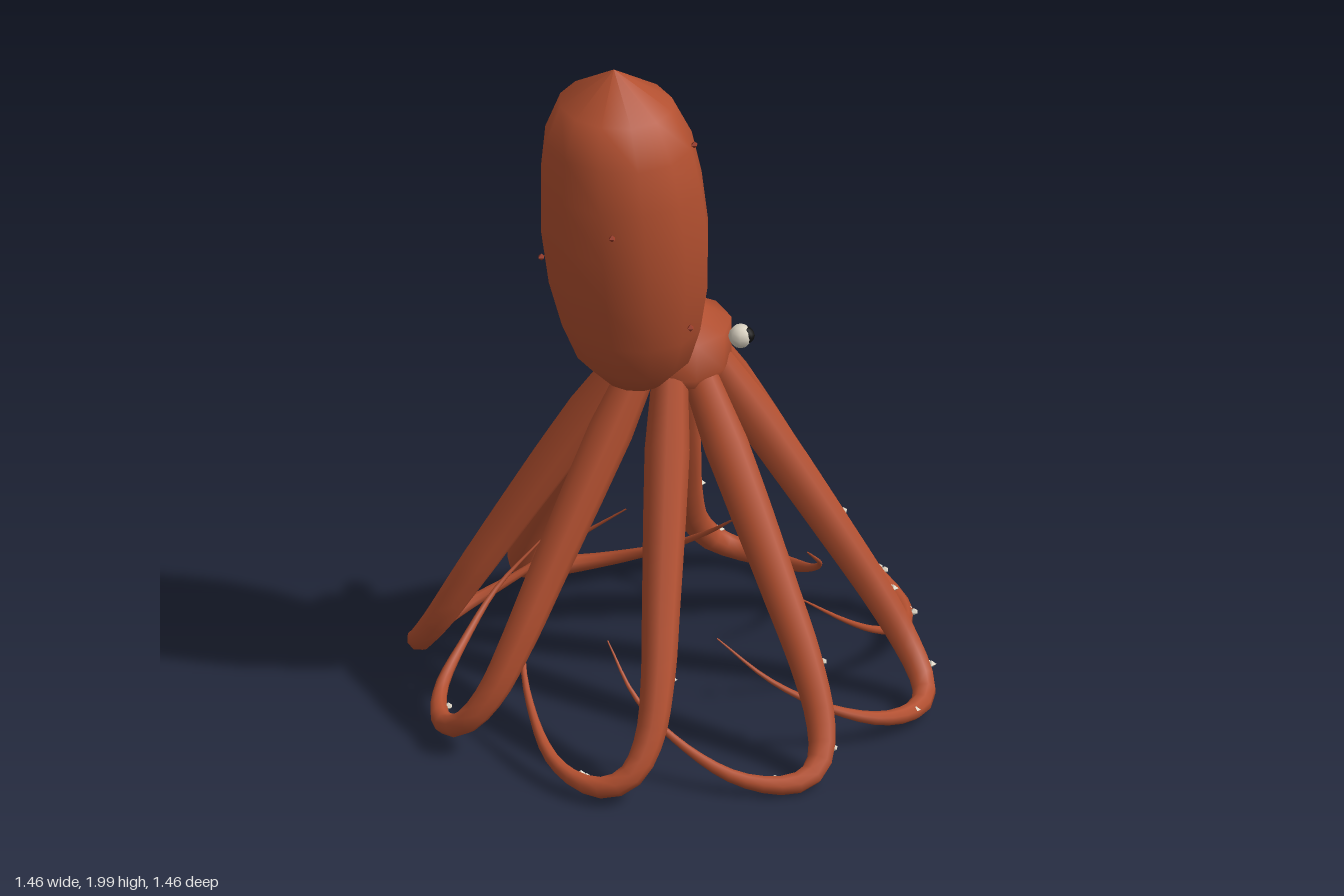
import * as THREE from 'three';

export function createModel() {
  const mat = (name, color, side = THREE.FrontSide) => {
    const m = new THREE.MeshStandardMaterial({ color, side });
    m.name = name;
    return m;
  };
  const skin = mat('rust skin', 0xb24f2f, THREE.DoubleSide);
  const wartSkin = mat('dark red wart', 0x9c3a26);
  const cream = mat('cream', 0xd8d0c0);
  const black = mat('black', 0x101010);

  const model = new THREE.Group();
  const add = (parent, name, geometry, material, x = 0, y = 0, z = 0) => {
    const mesh = new THREE.Mesh(geometry, material);
    mesh.name = name;
    mesh.position.set(x, y, z);
    parent.add(mesh);
    return mesh;
  };
  const lathe = (profile, sides) =>
    new THREE.LatheGeometry(profile.map(([r, y]) => new THREE.Vector2(r, y)), sides);

  // Mantle: a tall pointed bag, slightly narrower in z and leaning forward
  const mantle = lathe([
    [0, 1.0], [0.09, 1.015], [0.165, 1.09], [0.205, 1.2], [0.235, 1.34],
    [0.247, 1.5], [0.238, 1.65], [0.217, 1.78], [0.165, 1.895], [0, 2.0],
  ], 12);
  const mp = mantle.attributes.position;
  for (let i = 0; i < mp.count; i++) {
    mp.setZ(i, mp.getZ(i) * 0.92 + 0.175 + (mp.getY(i) - 1.5) * 0.08);
  }
  add(model, 'mantle', mantle, skin);

  // Head: open-bottomed dome behind the mantle
  add(model, 'head', lathe([[0.15, 1.0], [0.166, 1.03], [0.166, 1.14], [0.07, 1.195], [0, 1.21]], 10), skin);

  // Eyes, looking outwards and a little to the back
  for (const s of [1, -1]) {
    const eye = new THREE.Group();
    eye.name = s > 0 ? 'leftEye' : 'rightEye';
    eye.position.set(s * 0.147, 1.105, -0.122);
    add(eye, 'eyeball', new THREE.SphereGeometry(0.034, 8, 6), cream);
    add(eye, 'pupil', new THREE.SphereGeometry(0.025, 8, 6), black, s * 0.011, 0.003, -0.009);
    model.add(eye);
  }

  // Warts scattered on the mantle
  const wart = new THREE.OctahedronGeometry(0.011);
  [
    [0.19, 1.795, 0.09], [-0.235, 1.69, 0.15], [0.15, 1.585, 0.36],
    [0.02, 1.48, -0.053], [-0.19, 1.375, 0.31], [0.245, 1.27, 0.155],
  ].forEach((p) => add(model, 'wart', wart, wartSkin, ...p));

  // Arm centre line: straight out and down, then curling sideways to a raised tip
  const path = new THREE.CatmullRomCurve3([
    [0.12, 1.02, 0], [0.3, 0.74, 0.005], [0.45, 0.5, 0.01], [0.56, 0.32, 0.015],
    [0.64, 0.18, 0.035], [0.687, 0.095, 0.08], [0.698, 0.06, 0.14], [0.67, 0.052, 0.21],
    [0.58, 0.075, 0.3], [0.43, 0.145, 0.365], [0.283, 0.24, 0.395], [0.14, 0.35, 0.367],
  ].map((p) => new THREE.Vector3(...p)));

  // Arm thickness at even steps along the path
  const radii = [0.05, 0.062, 0.059, 0.054, 0.049, 0.042, 0.033, 0.021, 0.012, 0.007, 0.002];
  const radiusAt = (u) => {
    const k = Math.min(u * 10, 9.999);
    const i = Math.floor(k);
    return THREE.MathUtils.lerp(radii[i], radii[i + 1], k - i);
  };

  const rings = 40, sides = 8;
  const armGeometry = new THREE.TubeGeometry(path, rings, 1, sides);
  const ap = armGeometry.attributes.position;
  const v = new THREE.Vector3();
  for (let i = 0; i < ap.count; i++) {
    const u = Math.floor(i / (sides + 1)) / rings;
    const centre = path.getPointAt(u);
    v.fromBufferAttribute(ap, i).sub(centre).multiplyScalar(radiusAt(u)).add(centre);
    ap.setXYZ(i, v.x, v.y, v.z);
  }

  // Eight arms, each with pairs of suckers
  const sucker = new THREE.OctahedronGeometry(0.014);
  for (let n = 0; n < 8; n++) {
    const a = (n * Math.PI) / 4;
    const arm = new THREE.Group();
    arm.name = 'arm' + (n + 1);
    arm.rotation.y = -a;
    arm.position.y = -0.018 * Math.cos(2 * a);
    add(arm, 'armTube', armGeometry, skin);
    for (const u of [0.44, 0.565, 0.665]) {
      const p = path.getPointAt(u);
      const r = radiusAt(u);
      for (const d of [-0.011, 0.011]) {
        // Suckers sit on the rear side of every arm
        const x = p.x - Math.sin(a) * r + Math.cos(a) * d;
        const z = p.z - Math.cos(a) * r - Math.sin(a) * d;
        add(arm, 'sucker', sucker, cream, x, p.y + 0.008, z).scale.y = 0.8;
      }
    }
    model.add(arm);
  }
  return model;
}
